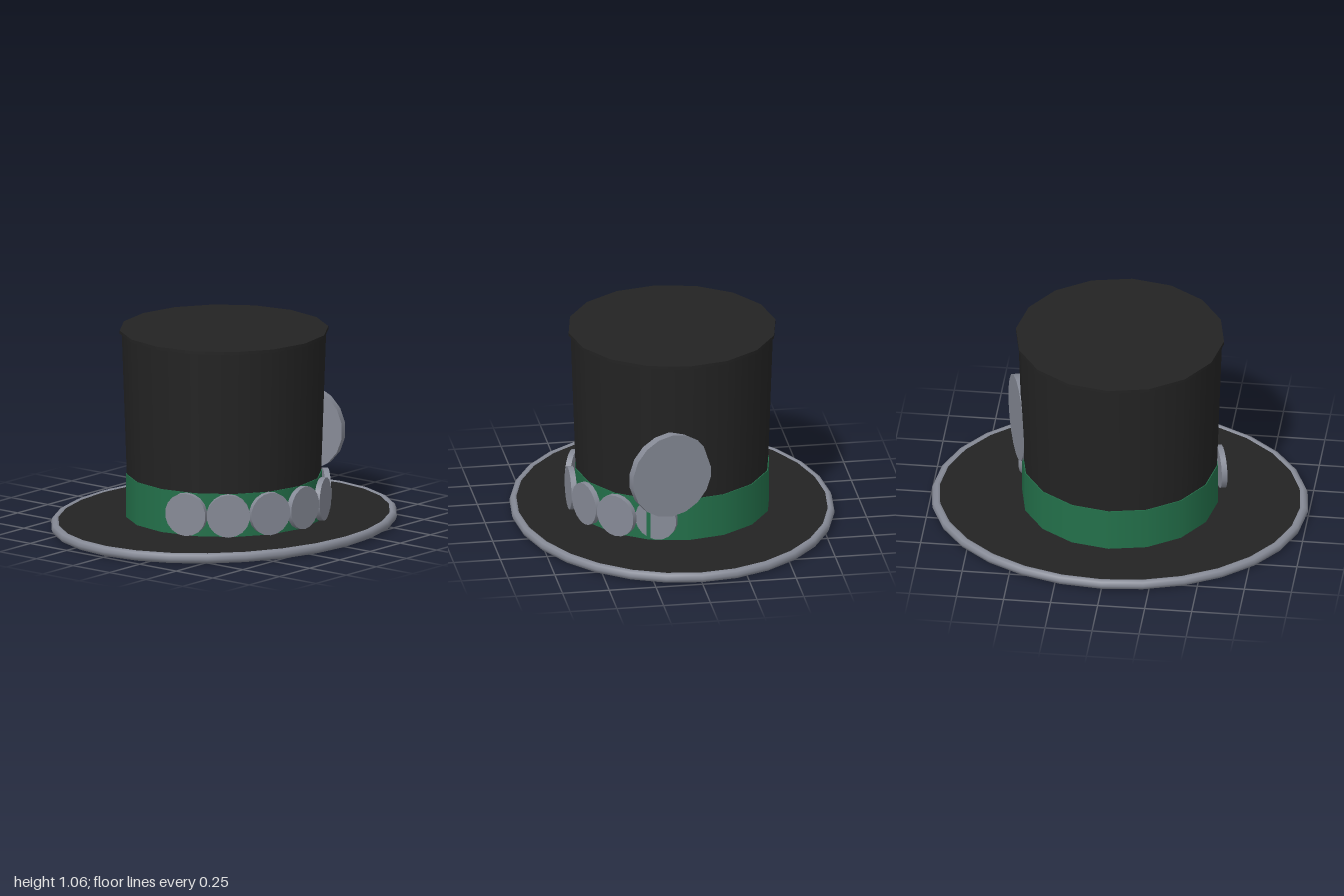
import * as THREE from 'three';

export function createModel() {
  const hat = new THREE.Group();
  hat.name = 'topHat';
  const felt = new THREE.MeshStandardMaterial({ name: 'black felt', color: 0x232323 });
  const metal = new THREE.MeshStandardMaterial({ name: 'grey metal', color: 0x868a96 });
  const ribbon = new THREE.MeshStandardMaterial({ name: 'green ribbon', color: 0x23704a });

  const add = (name, geometry, material, x = 0, y = 0, z = 0) => {
    const mesh = new THREE.Mesh(geometry, material);
    mesh.name = name;
    mesh.position.set(x, y, z);
    hat.add(mesh);
    return mesh;
  };
  // Tapered 16-sided section between two heights
  const section = (name, rTop, rBottom, y0, y1, material) =>
    add(name, new THREE.CylinderGeometry(rTop, rBottom, y1 - y0, 16), material, 0, (y0 + y1) / 2, 0);

  // Oval brim with a rounded edge
  const depth = 0.855;
  const brim = add('brim', new THREE.CylinderGeometry(0.966, 0.966, 0.044, 28), felt, 0, 0.028, 0);
  brim.scale.z = depth;
  const edge = new THREE.TorusGeometry(0.972, 0.028, 8, 28).rotateX(Math.PI / 2);
  add('brimEdge', edge, metal, 0, 0.028, 0).scale.z = depth;

  // Crown, its top lip and the ribbon around its foot
  section('crown', 0.542, 0.507, 0.04, 1.045, felt);
  section('crownLip', 0.553, 0.553, 1.043, 1.06, felt);
  section('ribbonBand', 0.52, 0.52, 0.045, 0.282, ribbon);

  // Upright disc; angle is its facing direction, measured from the front towards +x
  const disc = (name, radius, thickness, angle, x, y, z) => {
    const geometry = new THREE.CylinderGeometry(radius, radius, thickness, 18).rotateX(Math.PI / 2);
    add(name, geometry, metal, x, y, z).rotation.y = THREE.MathUtils.degToRad(angle);
  };

  // Row of coins round the front of the ribbon
  for (let i = -3; i <= 2; i++) {
    const a = THREE.MathUtils.degToRad(i * 24);
    disc('coin', 0.115, 0.03, i * 24, Math.sin(a) * 0.541, 0.17, Math.cos(a) * 0.541);
  }
  // Last coin sits askew, with the ribbon's fold cutting through it
  disc('askewCoin', 0.115, 0.03, 61.5, 0.4815, 0.17, 0.162);

  // Large medallion on the left side
  disc('medallion', 0.232, 0.047, 107, 0.54, 0.442, 0.097);

  return hat;
}
